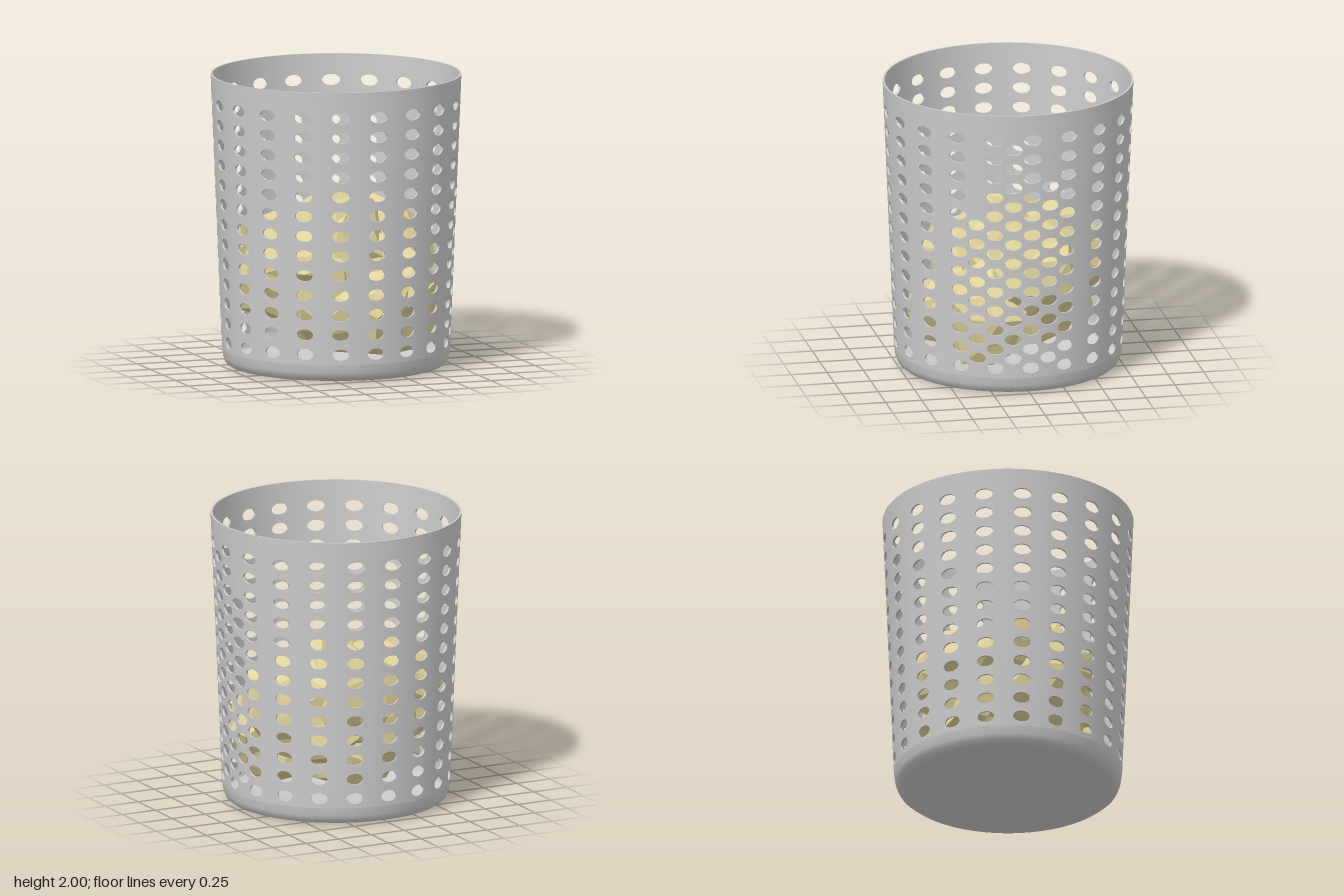
import * as THREE from 'three';
import { toCreasedNormals } from 'three/addons/utils/BufferGeometryUtils.js';

const COLS = 40, ROWS = 13, PITCH = 0.136, Y0 = 0.122, THICK = 0.014;
const Y1 = Y0 + ROWS * PITCH;                       // top of the perforated band
const STEP = (Math.PI * 2) / COLS;
const wallRadius = (y) => 0.773 + 0.077 * (y - Y0) / (2 - Y0);

// Point on the tapered wall; depth goes inwards
function onWall([angle, y], depth) {
  const r = wallRadius(y) - depth;
  return [r * Math.sin(angle), y, r * Math.cos(angle)];
}

// Tapered wall made of cells, each solid or with an oval hole
function perforatedWall() {
  const pos = [];
  const quad = (a, b, c, d) => pos.push(...a, ...b, ...c, ...a, ...c, ...d);
  const bothFaces = (a, b, c, d) => {
    quad(onWall(a, 0), onWall(b, 0), onWall(c, 0), onWall(d, 0));
    quad(onWall(d, THICK), onWall(c, THICK), onWall(b, THICK), onWall(a, THICK));
  };
  const solid = (u, ya, yb) => {
    for (let i = 0; i < 2; i++) {
      const ua = u + (i - 1) * STEP / 2, ub = ua + STEP / 2;
      bothFaces([ua, ya], [ub, ya], [ub, yb], [ua, yb]);
    }
  };
  const holed = (u, y) => {
    const N = 16, border = [], hole = [];
    for (let k = 0; k <= N; k++) {
      const t = (k / N) * Math.PI * 2, c = Math.cos(t), s = Math.sin(t);
      const m = Math.max(Math.abs(c), Math.abs(s));
      border.push([u + (c / m) * STEP / 2, y + (s / m) * PITCH / 2]);
      hole.push([u + c * STEP * 0.47, y + s * 0.039]);
    }
    for (let k = 0; k < N; k++) {
      bothFaces(hole[k], border[k], border[k + 1], hole[k + 1]);
      quad(onWall(hole[k], 0), onWall(hole[k + 1], 0),
        onWall(hole[k + 1], THICK), onWall(hole[k], THICK));
    }
  };
  // Staggered extra columns on the +x side: column index -> highest hole
  const extra = { 7: 1.25, 9: 1.8, 11: 1.52 };
  for (let c = 0; c < COLS; c++) {
    const u = c * STEP;
    if (c % 2 === 0) {
      for (let r = 0; r < ROWS; r++) holed(u, Y0 + (r + 0.5) * PITCH);
    } else if (extra[c]) {
      solid(u, Y0, Y0 + PITCH / 2);
      let y = Y0 + PITCH;
      for (; y < extra[c]; y += PITCH) holed(u, y);
      solid(u, y - PITCH / 2, Y1);
    } else {
      solid(u, Y0, Y1);
    }
  }
  const g = new THREE.BufferGeometry();
  g.setAttribute('position', new THREE.Float32BufferAttribute(pos, 3));
  return toCreasedNormals(g, 0.6);
}

function lathe(points) {
  const g = new THREE.LatheGeometry(points.map(([x, y]) => new THREE.Vector2(x, y)), 80);
  return toCreasedNormals(g.toNonIndexed(), 0.6);
}

// Repeatable value from 0 to 1 for a direction and seed
function hash(x, y, z, seed) {
  const q = (v) => Math.round(v * 1000);
  const s = Math.sin(q(x) * 0.127 + q(y) * 0.311 + q(z) * 0.747 + seed * 17.3) * 43758.545;
  return s - Math.floor(s);
}

// Crumpled ball: a faceted sphere with uneven corners, kept inside the bin
function crumpledBall([cx, cy, cz], [rx, ry, rz], detail, seed) {
  const g = new THREE.IcosahedronGeometry(1, detail);
  const p = g.attributes.position;
  for (let i = 0; i < p.count; i++) {
    const x = p.getX(i), y = p.getY(i), z = p.getZ(i);
    const k = 0.74 + 0.42 * hash(x, y, z, seed);
    let px = cx + x * rx * k, pz = cz + z * rz * k;
    const py = Math.min(1.18, Math.max(0.07, cy + y * ry * k));
    const limit = Math.min(0.74, 0.6 + 0.25 * py) / Math.hypot(px, pz);
    if (limit < 1) { px *= limit; pz *= limit; }
    p.setXYZ(i, px, py, pz);
  }
  g.computeVertexNormals();
  return g;
}

export function createModel() {
  const model = new THREE.Group();
  const grey = new THREE.MeshStandardMaterial({ color: 0xcccccc, side: THREE.DoubleSide });
  const paper = new THREE.MeshStandardMaterial({ color: 0xe0d49a, flatShading: true });
  const add = (name, geometry, material, parent = model) => {
    const mesh = new THREE.Mesh(geometry, material);
    mesh.name = name;
    parent.add(mesh);
  };

  add('perforatedWall', perforatedWall(), grey);

  // Plain band closing the top edge
  const ri = (y) => wallRadius(y) - THICK;
  add('rim', lathe([[wallRadius(Y1), Y1], [0.85, 2], [ri(2), 2], [ri(Y1), Y1]]), grey);

  // Flat bottom with a rounded edge, and the floor inside
  add('base', lathe([
    [0, 0], [0.69, 0], [0.725, 0.01], [0.75, 0.03], [0.764, 0.065], [wallRadius(Y0), Y0],
    [ri(Y0), Y0], [0.748, 0.07], [0.735, 0.045], [0.7, 0.03], [0, 0.03],
  ]), grey);

  // Heap of crumpled paper: centre, radii, detail
  const heap = new THREE.Group();
  heap.name = 'crumpledPaper';
  model.add(heap);
  [
    [[0, 0.6, 0], [0.6, 0.46, 0.56], 2],
    [[-0.34, 0.64, 0.1], [0.4, 0.4, 0.4], 1],
    [[0.32, 0.68, -0.14], [0.42, 0.42, 0.42], 1],
    [[0.1, 0.8, -0.3], [0.38, 0.36, 0.38], 1],
    [[0.04, 0.42, 0.36], [0.36, 0.34, 0.34], 1],
    [[0.36, 0.5, 0.22], [0.36, 0.38, 0.36], 1],
    [[-0.3, 0.82, -0.12], [0.38, 0.3, 0.34], 1],
    [[0.02, 0.88, 0.1], [0.34, 0.28, 0.3], 1],
    [[-0.42, 0.72, 0.3], [0.36, 0.12, 0.2], 1],
  ].forEach(([centre, radii, detail], i) =>
    add('paperBall', crumpledBall(centre, radii, detail, i + 1), paper, heap));

  return model;
}
